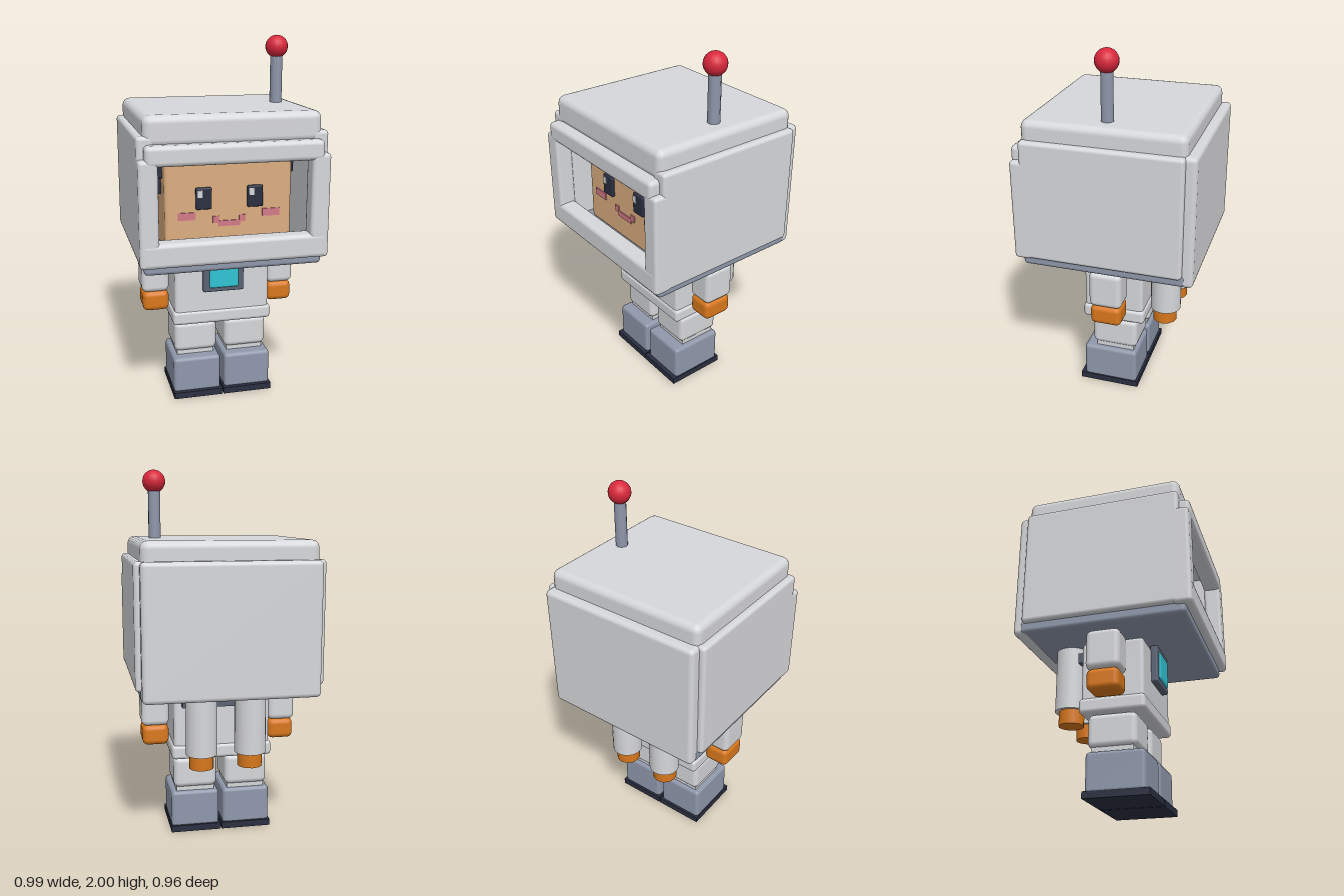
import * as THREE from 'three';
import { RoundedBoxGeometry } from 'three/addons/geometries/RoundedBoxGeometry.js';

export function createModel() {
  const model = new THREE.Group();
  model.name = 'astronaut';

  const paint = (name, color) => {
    const m = new THREE.MeshStandardMaterial({ color });
    m.name = name;
    return m;
  };
  const white = paint('suitWhite', 0xd6d7da);
  const steel = paint('steelBlue', 0x8f98ab);
  const slate = paint('slate', 0x596273);
  const dark = paint('darkNavy', 0x2a2f40);
  const orange = paint('orange', 0xd9781c);
  const red = paint('red', 0xd9283c);
  const skin = paint('skin', 0xdcae80);
  const pink = paint('pink', 0xd27a88);
  const cyan = paint('screenCyan', 0x30c4d4);

  const add = (name, geometry, material, x = 0, y = 0, z = 0) => {
    const mesh = new THREE.Mesh(geometry, material);
    mesh.name = name;
    mesh.position.set(x, y, z);
    model.add(mesh);
    return mesh;
  };
  // Box given by its limits on each axis; r > 0 rounds the edges
  const box = (name, material, [x0, x1], [y0, y1], [z0, z1], r = 0) => {
    const size = [x1 - x0, y1 - y0, z1 - z0];
    const g = r ? new RoundedBoxGeometry(...size, 2, r) : new THREE.BoxGeometry(...size);
    return add(name, g, material, (x0 + x1) / 2, (y0 + y1) / 2, (z0 + z1) / 2);
  };
  // The same box on both sides of the body
  const pair = (name, material, [x0, x1], y, z, r) => {
    box(name + 'Left', material, [x0, x1], y, z, r);
    box(name + 'Right', material, [-x1, -x0], y, z, r);
  };

  // Helmet shell
  box('helmetRoof', white, [-0.46, 0.46], [1.48, 1.64], [-0.43, 0.425], 0.04);
  box('helmetBack', white, [-0.465, 0.465], [0.83, 1.54], [-0.48, -0.4], 0.025);
  pair('helmetSide', white, [0.405, 0.495], [0.885, 1.54], [-0.425, 0.425], 0.02);
  box('helmetFloor', steel, [-0.47, 0.47], [0.835, 0.905], [-0.44, 0.44], 0.02);

  // Window frame
  pair('framePillar', white, [0.395, 0.495], [0.88, 1.43], [0.38, 0.478], 0.02);
  box('frameTop', white, [-0.46, 0.46], [1.395, 1.5], [0.38, 0.48], 0.025);
  box('frameBottom', white, [-0.49, 0.49], [0.88, 1.01], [0.38, 0.48], 0.025);

  // Head, ears and hair
  box('head', skin, [-0.34, 0.34], [0.91, 1.45], [-0.3, 0.31], 0.02);
  pair('ear', skin, [0.33, 0.39], [1.07, 1.2], [-0.06, 0.06], 0.02);
  box('hairCap', dark, [-0.375, 0.375], [1.29, 1.48], [-0.34, 0.24], 0.015);
  pair('sideburn', dark, [0.335, 0.355], [1.2, 1.4], [0.02, 0.2]);
  box('hairFringe', dark, [-0.29, 0.1], [1.375, 1.47], [0.28, 0.335], 0.01);

  // Face details
  for (const x of [-0.138, 0.138]) {
    box('eye', dark, [x - 0.042, x + 0.042], [1.135, 1.25], [0.3, 0.328], 0.008);
    box('eyeGlint', white, [x - 0.035, x - 0.008], [1.2, 1.238], [0.324, 0.331]);
  }
  pair('cheek', pink, [0.18, 0.275], [1.08, 1.12], [0.307, 0.316]);
  pair('mouthCorner', pink, [0.055, 0.088], [1.058, 1.094], [0.307, 0.316]);
  box('mouth', pink, [-0.06, 0.06], [1.038, 1.068], [0.307, 0.316]);

  // Antenna
  const rod = add('antennaRod', new THREE.CylinderGeometry(0.033, 0.033, 0.28, 10), steel, 0.342, 1.77, 0);
  rod.geometry.computeBoundingSphere();
  add('antennaBall', new THREE.SphereGeometry(0.061, 20, 14), red, 0.342, 1.939, 0);

  // Torso, neck and belt
  box('neck', skin, [-0.175, 0.175], [0.79, 0.85], [-0.15, 0.15]);
  box('torso', white, [-0.268, 0.268], [0.46, 0.825], [-0.165, 0.17], 0.02);
  box('hips', white, [-0.28, 0.28], [0.435, 0.515], [-0.175, 0.178], 0.02);

  // Chest screen
  box('screenFrame', slate, [-0.115, 0.115], [0.63, 0.85], [0.165, 0.205], 0.01);
  box('screen', cyan, [-0.083, 0.083], [0.655, 0.81], [0.19, 0.215], 0.012);

  // Arms and gloves
  pair('arm', white, [0.285, 0.437], [0.61, 0.82], [-0.09, 0.09], 0.03);
  pair('glove', orange, [0.286, 0.432], [0.498, 0.612], [-0.086, 0.086], 0.03);

  // Legs and boots
  pair('leg', white, [0.024, 0.265], [0.255, 0.43], [-0.13, 0.13], 0.03);
  pair('ankle', white, [0.04, 0.25], [0.21, 0.27], [-0.11, 0.11]);
  pair('boot', steel, [0.012, 0.28], [0.025, 0.232], [-0.132, 0.178], 0.02);
  pair('sole', dark, [0.004, 0.284], [0, 0.036], [-0.143, 0.2]);

  // Back tanks with nozzles and strap
  for (const x of [-0.135, 0.135]) {
    add('tank', new THREE.CylinderGeometry(0.085, 0.085, 0.36, 24), white, x, 0.675, -0.267);
    add('nozzle', new THREE.CylinderGeometry(0.068, 0.068, 0.1, 12), orange, x, 0.467, -0.263);
  }
  box('tankStrap', slate, [-0.225, 0.225], [0.735, 0.79], [-0.2, -0.15]);

  return model;
}
